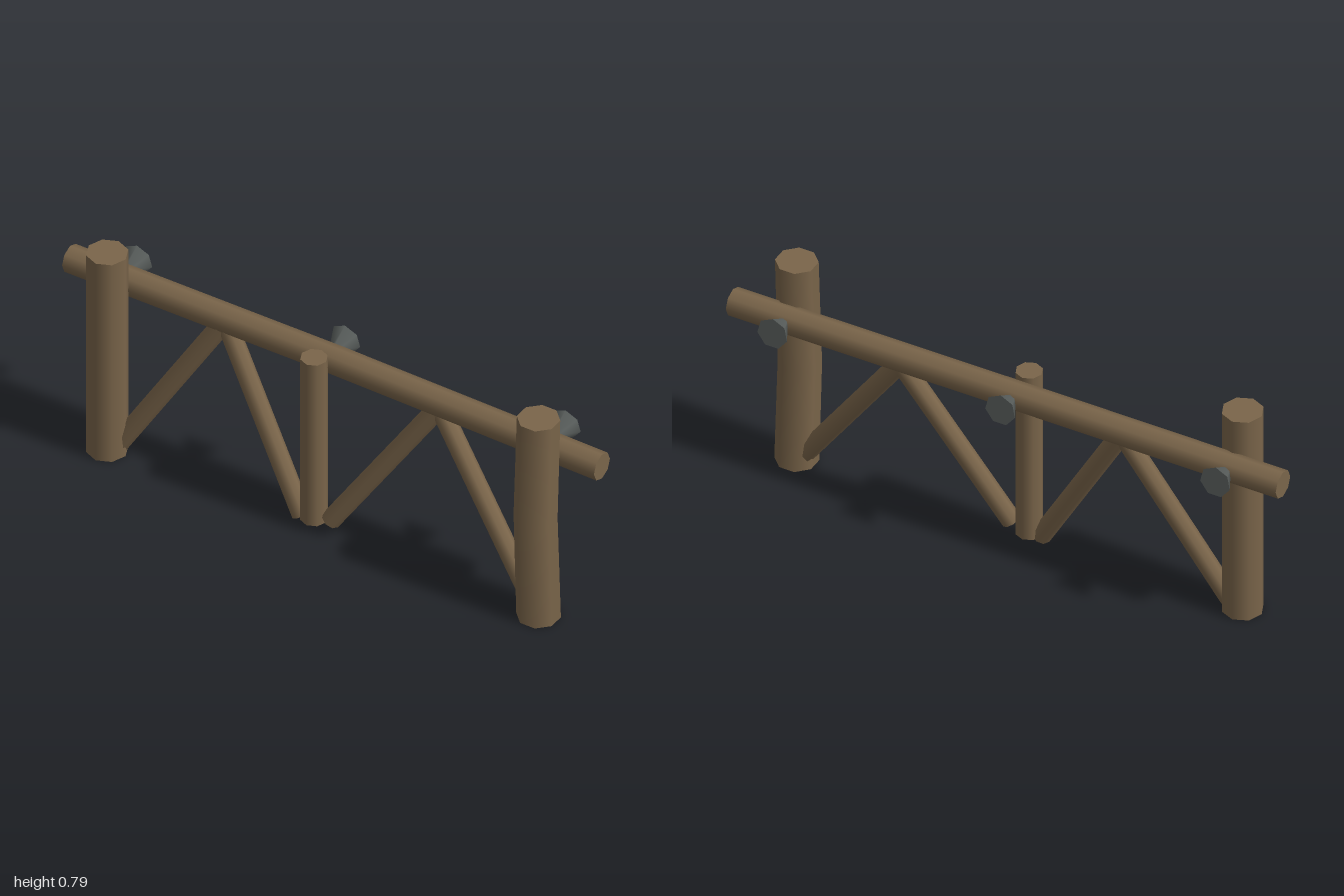
import * as THREE from 'three';

const wood = new THREE.MeshStandardMaterial({ color: 0x7a654a, side: THREE.DoubleSide });
wood.name = 'weathered wood';
const iron = new THREE.MeshStandardMaterial({ color: 0x595e5c });
iron.name = 'dark iron';

const UP = new THREE.Vector3(0, 1, 0);

// Tapered round piece from point a to point b; bend(t) shifts each ring sideways.
function log(name, a, b, ra, rb, { sides = 8, turn = 0, rings = 1, bend, openStart = false, material = wood } = {}) {
  const start = new THREE.Vector3(...a);
  const dir = new THREE.Vector3(...b).sub(start);
  const length = dir.length();
  const geo = new THREE.CylinderGeometry(rb, ra, length, sides, rings);
  if (openStart) {
    // drop the hidden ground-side cap
    const cap = geo.groups[2];
    geo.setIndex(Array.from(geo.index.array).slice(0, cap.start));
  }
  geo.clearGroups();
  geo.rotateY(turn);
  geo.translate(0, length / 2, 0);
  geo.applyQuaternion(new THREE.Quaternion().setFromUnitVectors(UP, dir.clone().normalize()));
  geo.translate(...a);
  if (bend) {
    const p = geo.attributes.position;
    const v = new THREE.Vector3();
    for (let i = 0; i < p.count; i++) {
      v.fromBufferAttribute(p, i);
      const t = v.clone().sub(start).dot(dir) / dir.lengthSq();
      v.add(bend(t));
      p.setXYZ(i, v.x, v.y, v.z);
    }
    geo.computeBoundingSphere();
  }
  const mesh = new THREE.Mesh(geo, material);
  mesh.name = name;
  return mesh;
}

export function createModel() {
  const fence = new THREE.Group();
  fence.name = 'logFence';
  const flat = Math.PI / 8;

  // End posts, the left one slightly crooked
  fence.add(log('rightPost', [-0.803, 0, 0.064], [-0.803, 0.79, 0.064], 0.069, 0.069, { openStart: true }));
  fence.add(log('leftPost', [0.815, 0, 0.064], [0.815, 0.79, 0.064], 0.072, 0.07, {
    turn: flat, rings: 2, openStart: true,
    bend: (t) => new THREE.Vector3(-0.01, 0, 0.002).multiplyScalar(1 - Math.abs(2 * t - 1)),
  }));

  // Short middle post
  fence.add(log('middlePost', [-0.036, 0.03, 0.05], [-0.036, 0.675, 0.05], 0.045, 0.045, { openStart: true }));

  // Top rail, drooping a little towards its left end
  fence.add(log('topRail', [-1, 0.627, -0.028], [1, 0.627, -0.028], 0.048, 0.048, {
    rings: 4,
    bend: (t) => new THREE.Vector3(0, -0.01, 0.008).multiplyScalar(Math.max(0, (t - 0.5) * 2)),
  }));

  // Diagonal braces leaning back from the post feet to the rail
  const braces = [
    [[-0.765, 0.035, 0.05], [-0.42, 0.61, -0.027]],
    [[-0.078, 0.03, 0.055], [-0.41, 0.605, -0.027]],
    [[0.028, 0.05, 0.052], [0.39, 0.605, -0.027]],
    [[0.775, 0.05, 0.05], [0.385, 0.605, -0.027]],
  ];
  for (const [foot, head] of braces) fence.add(log('brace', foot, head, 0.033, 0.033));

  // Flared iron bolts on the back of the rail
  for (const x of [-0.81, -0.03, 0.797]) {
    fence.add(log('bolt', [x, 0.629, -0.055], [x, 0.635, -0.13], 0.016, 0.055, { sides: 7, material: iron }));
  }
  return fence;
}
